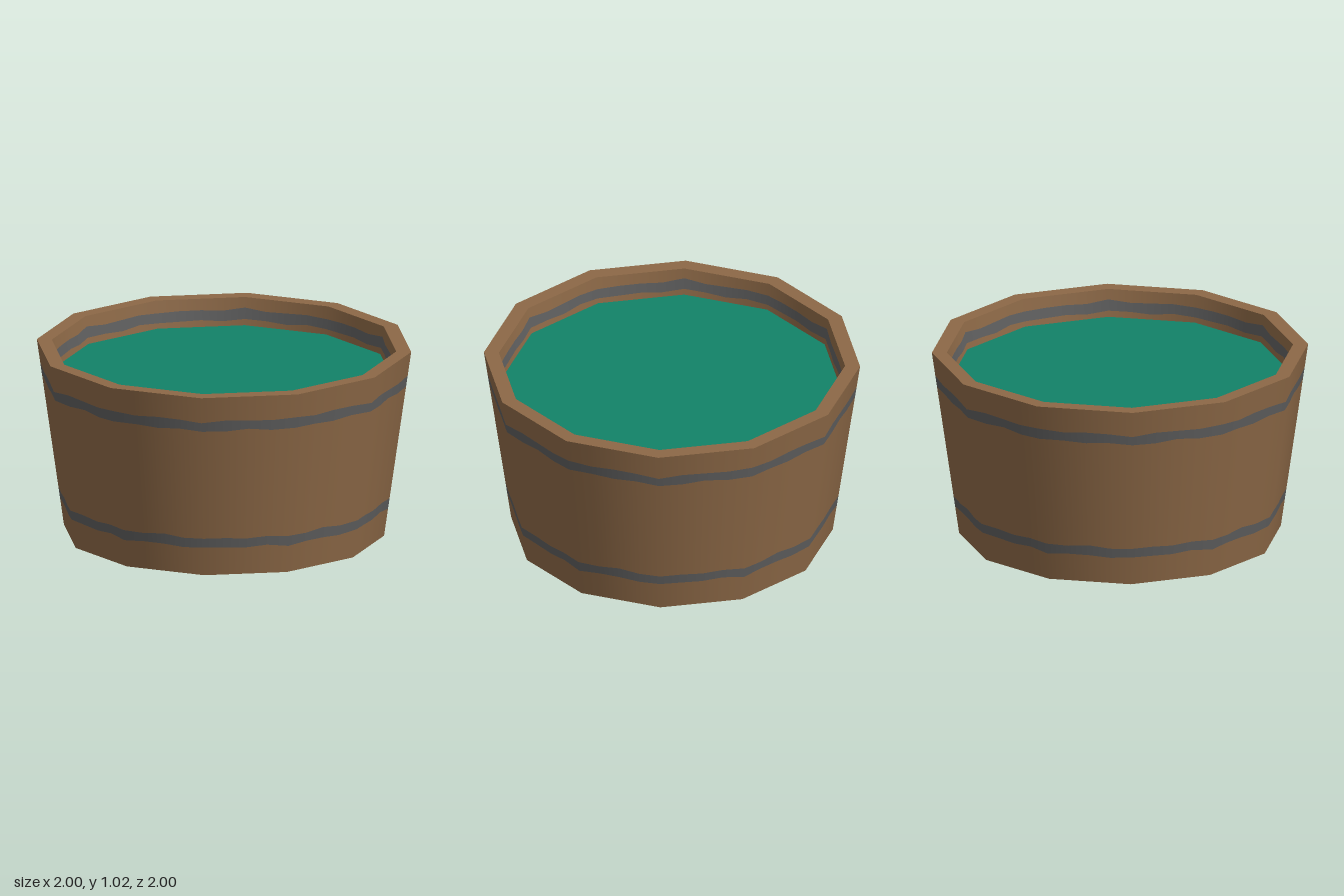
import * as THREE from 'three';

const SIDES = 12, SUB = 4, COLS = SIDES * SUB;
const HEIGHT = 1.02, WATER_Y = 0.87;

const outerRadius = (y) => 0.855 + (1 - 0.855) * (y / HEIGHT);
const innerRadius = (y) => 0.9 + 0.02 * ((y - WATER_Y) / (HEIGHT - WATER_Y));

// Slightly uneven hand-forged edge, repeating around the tub
const WOBBLE = [0.004, -0.003, 0.009, -0.002, 0.002, 0.006, -0.004, 0.003];
const edge = (y, shift) => (i) => y + WOBBLE[(i + shift) % WOBBLE.length];
const level = (y) => () => y;

// One strip of twelve-sided wall between two edge rules, with smooth normals
function wallStrip(low, high, radius) {
  const pos = [], nor = [], idx = [];
  const slope = radius(1) - radius(0);
  for (let i = 0; i <= COLS; i++) {
    const a = (i / COLS) * Math.PI * 2;
    const local = ((i % SUB) / SUB - 0.5) * (Math.PI * 2 / SIDES);
    const flat = i % SUB === 0 ? 1 : Math.cos(Math.PI / SIDES) / Math.cos(local);
    const n = new THREE.Vector3(Math.cos(a), -slope, Math.sin(a)).normalize();
    for (const y of [low(i % COLS), high(i % COLS)]) {
      const r = radius(y) * flat;
      pos.push(Math.cos(a) * r, y, Math.sin(a) * r);
      nor.push(n.x, n.y, n.z);
    }
    if (i < COLS) {
      const k = i * 2;
      idx.push(k, k + 1, k + 2, k + 2, k + 1, k + 3);
    }
  }
  const g = new THREE.BufferGeometry();
  g.setAttribute('position', new THREE.Float32BufferAttribute(pos, 3));
  g.setAttribute('normal', new THREE.Float32BufferAttribute(nor, 3));
  g.setIndex(idx);
  return g;
}

export function createModel() {
  const mat = (name, color) => {
    const m = new THREE.MeshStandardMaterial({ color, side: THREE.DoubleSide });
    m.name = name;
    return m;
  };
  const wood = mat('wood', 0x8c6846);
  const iron = mat('iron', 0x5e5e5e);
  const water = mat('water', 0x128268);

  const tub = new THREE.Group();
  tub.name = 'waterTub';
  const add = (name, geometry, material) => {
    const mesh = new THREE.Mesh(geometry, material);
    mesh.name = name;
    tub.add(mesh);
    return mesh;
  };

  // Walls: alternating wood and iron strips stacked from bottom to top
  const stack = (prefix, edges, radius) => {
    for (let i = 0; i < edges.length - 1; i++) {
      const hoop = i % 2 === 1;
      add(prefix + (hoop ? 'Hoop' : 'Staves') + (i + 1),
        wallStrip(edges[i], edges[i + 1], radius), hoop ? iron : wood);
    }
  };
  stack('outer', [level(0), edge(0.153, 1), edge(0.206, 4), edge(0.825, 0), edge(0.88, 2), level(HEIGHT)], outerRadius);
  stack('inner', [level(WATER_Y), edge(0.9, 3), edge(0.955, 6), level(HEIGHT)], innerRadius);

  // Flat rim joining the outer and inner walls
  const rim = new THREE.RingGeometry(0.92, 1, SIDES, 1).rotateX(-Math.PI / 2);
  add('rim', rim, wood).position.y = HEIGHT;

  // Water surface
  const disc = new THREE.CircleGeometry(0.9, SIDES).rotateX(-Math.PI / 2);
  add('waterSurface', disc, water).position.y = WATER_Y;

  return tub;
}
